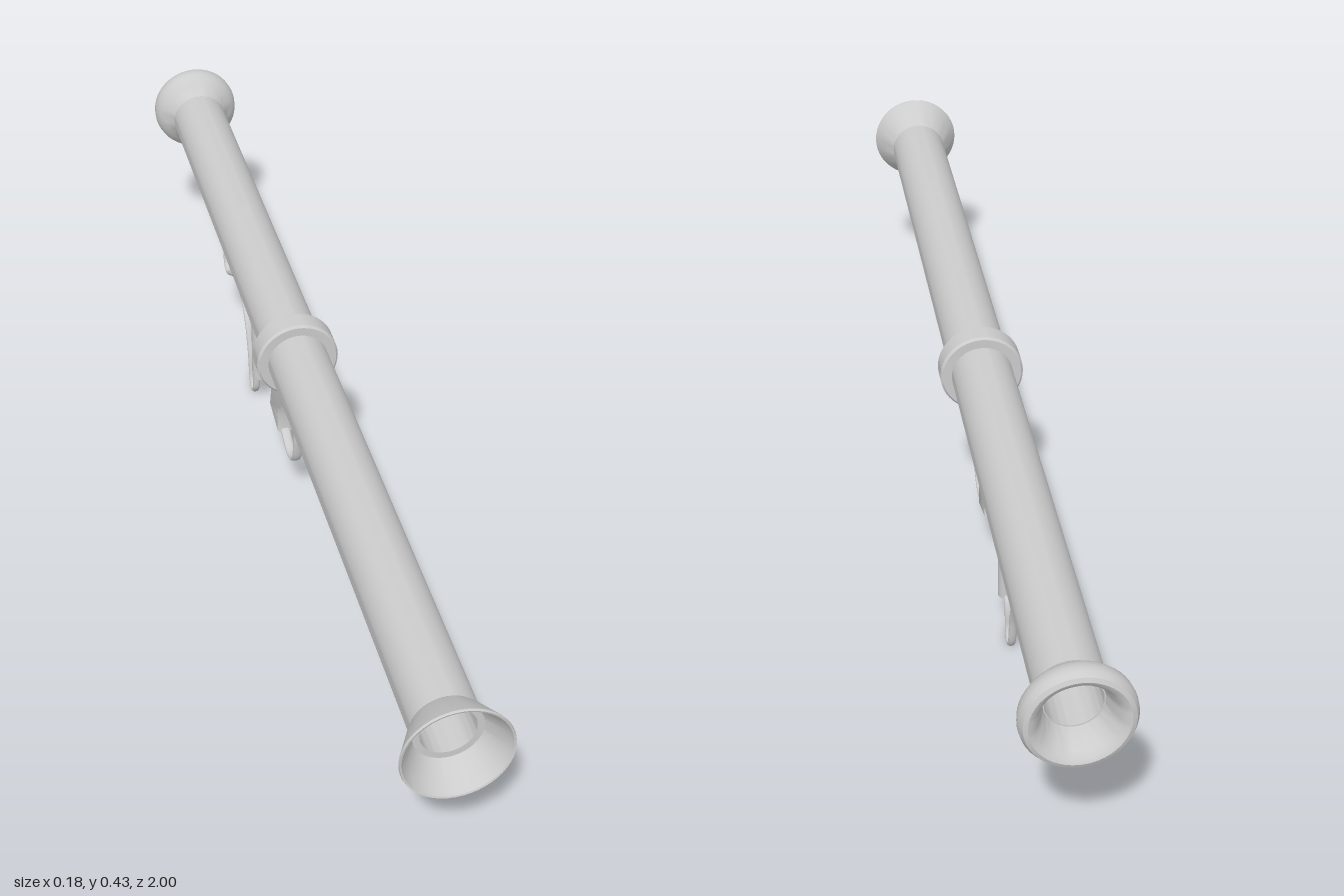
import * as THREE from 'three';
import { toCreasedNormals } from 'three/addons/utils/BufferGeometryUtils.js';

const AXIS = 0.345; // height of the tube's centre line
const material = new THREE.MeshStandardMaterial({ color: 0xcccccc, side: THREE.DoubleSide });

export function createModel() {
  const group = new THREE.Group();

  const add = (name, geometry, x = 0, y = 0, z = 0) => {
    const mesh = new THREE.Mesh(geometry, material);
    mesh.name = name;
    mesh.position.set(x, y, z);
    group.add(mesh);
    return mesh;
  };

  // Revolve [radius, z] points about the tube's axis
  const revolve = (name, points) => {
    const profile = points.map(([r, z]) => new THREE.Vector2(r, z));
    const geometry = new THREE.LatheGeometry(profile, 48).rotateX(Math.PI / 2);
    add(name, toCreasedNormals(geometry, 0.6), 0, AXIS, 0);
  };

  // Extrude a [z, y] outline across x, with a small bevel
  const slab = (name, points, width) => {
    const bevel = 0.003;
    const shape = new THREE.Shape(points.map(([z, y]) => new THREE.Vector2(-z, y)));
    const geometry = new THREE.ExtrudeGeometry(shape, {
      depth: width - 2 * bevel, bevelThickness: bevel, bevelSize: bevel,
      bevelOffset: -bevel, bevelSegments: 2,
    });
    geometry.translate(0, 0, bevel - width / 2).rotateY(Math.PI / 2);
    add(name, toCreasedNormals(geometry, 0.6));
  };

  // Bent rod through [z, y] points, flattened to an oval section
  const rod = (name, points, halfThickness, halfWidth) => {
    const curve = new THREE.CatmullRomCurve3(
      points.map(([z, y]) => new THREE.Vector3(0, y, z)), false, 'centripetal');
    const geometry = new THREE.TubeGeometry(curve, 120, halfThickness, 12);
    geometry.scale(halfWidth / halfThickness, 1, 1);
    add(name, geometry);
  };

  // Main tube with open bore
  revolve('barrel', [[0.044, -0.95], [0.055, -0.95], [0.055, 0.95], [0.044, 0.95], [0.044, -0.95]]);

  // Straight funnel at the front
  revolve('frontFunnel', [
    [0.055, 0.935], [0.06, 0.942], [0.085, 0.99], [0.088, 0.996], [0.087, 1],
    [0.084, 0.999], [0.08, 0.99], [0.052, 0.945], [0.044, 0.93],
  ]);

  // Rolled flare at the rear
  revolve('rearFlare', [
    [0.044, -0.93], [0.046, -0.95], [0.053, -0.972], [0.06, -0.987], [0.068, -0.997],
    [0.075, -1], [0.082, -0.997], [0.087, -0.988], [0.088, -0.978], [0.086, -0.967],
    [0.08, -0.957], [0.07, -0.947], [0.06, -0.937], [0.055, -0.925],
  ]);

  // Joint collar
  revolve('collar', [
    [0.054, -0.04], [0.071, -0.04], [0.075, -0.036], [0.075, 0.001],
    [0.071, 0.005], [0.054, 0.005],
  ]);

  // Pistol grip with trigger notch
  slab('grip', [
    [-0.058, 0.298], [-0.06, 0.235], [-0.064, 0.205], [-0.075, 0.195], [-0.08, 0.175],
    [-0.098, 0.165], [-0.104, 0.145], [-0.1, 0.108], [-0.172, 0.125], [-0.127, 0.298],
  ], 0.03);

  // Trigger guard
  rod('triggerGuard', [
    [0, 0.28], [0.004, 0.22], [0.002, 0.15], [-0.012, 0.108], [-0.05, 0.092], [-0.108, 0.113],
  ], 0.004, 0.009);

  // Fore post and its socket
  add('postSocket', new THREE.CylinderGeometry(0.025, 0.021, 0.043, 24), 0, 0.2765, -0.345);
  add('post', new THREE.CylinderGeometry(0.0145, 0.0145, 0.2, 24), 0, 0.173, -0.335);

  // Wire shoulder rest
  rod('shoulderRest', [
    [-0.337, 0.078], [-0.355, 0.074], [-0.363, 0.055], [-0.368, 0.022], [-0.385, 0.005],
    [-0.4, 0.018], [-0.415, 0.082], [-0.445, 0.145], [-0.495, 0.178], [-0.55, 0.178],
    [-0.595, 0.155], [-0.63, 0.139], [-0.648, 0.15], [-0.655, 0.2], [-0.655, 0.272],
  ], 0.0045, 0.007);

  // Bracket holding the rear end of the shoulder rest
  slab('restBracket', [
    [-0.612, 0.298], [-0.617, 0.274], [-0.625, 0.266], [-0.66, 0.266], [-0.668, 0.274], [-0.668, 0.298],
  ], 0.036);

  // Thin strip under the rear of the tube
  add('underStrip', new THREE.BoxGeometry(0.016, 0.008, 0.2), 0, 0.289, -0.845);

  return group;
}
